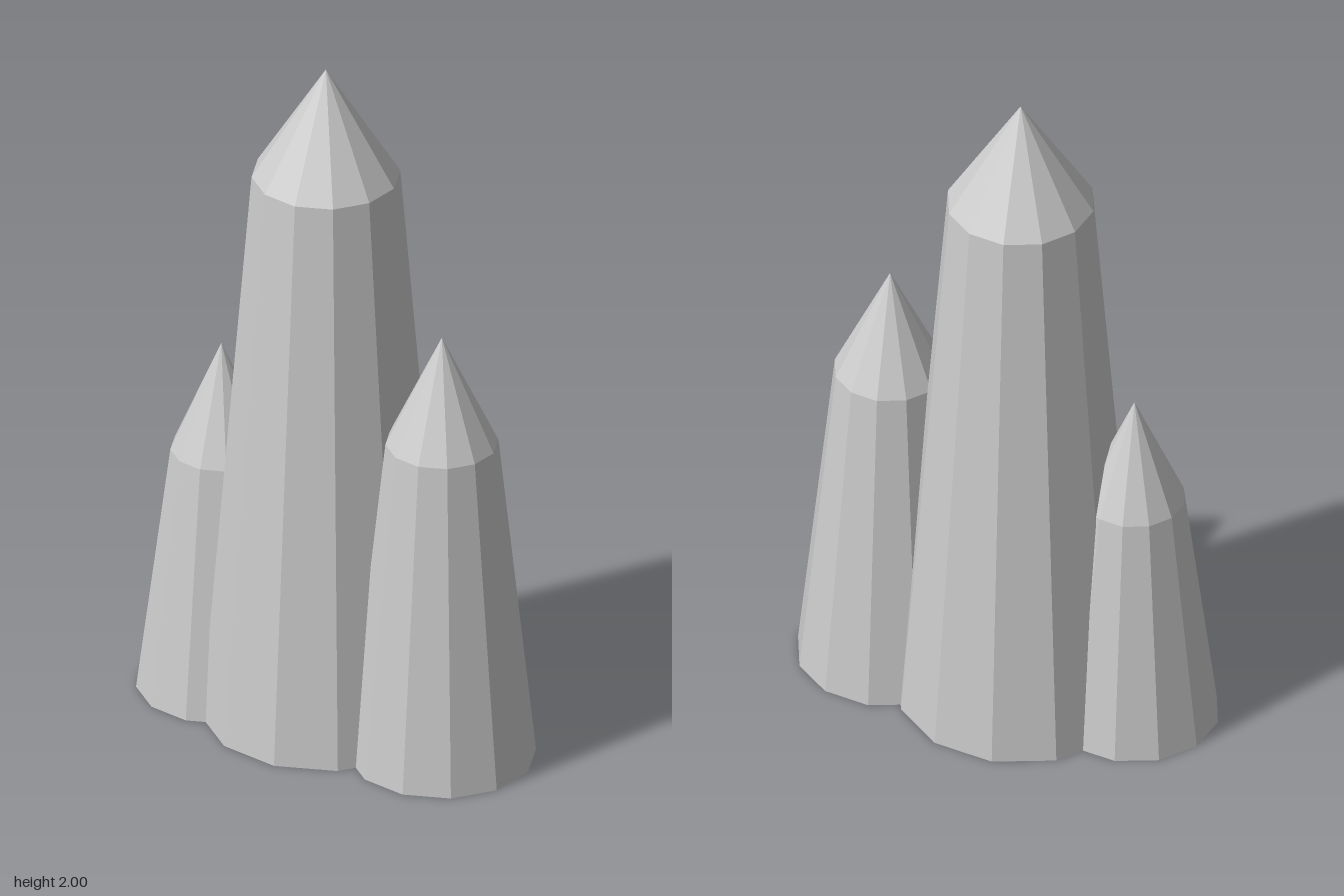
import * as THREE from 'three';

const SIDES = 12;

// Closed faceted crystal: flat base, tapering shaft, pointed tip
function crystal(name, x, z, baseRadius, shoulderRadius, shoulderY, tipY, material) {
  const profile = [
    new THREE.Vector2(0, 0),
    new THREE.Vector2(baseRadius, 0),
    new THREE.Vector2(shoulderRadius, shoulderY),
    new THREE.Vector2(0, tipY),
  ];
  const mesh = new THREE.Mesh(new THREE.LatheGeometry(profile, SIDES), material);
  mesh.name = name;
  mesh.position.set(x, 0, z);
  return mesh;
}

export function createModel() {
  const group = new THREE.Group();
  group.name = 'crystalCluster';
  const material = new THREE.MeshStandardMaterial({ color: 0xcccccc, flatShading: true });

  group.add(
    crystal('tallCrystal', -0.055, 0, 0.341, 0.204, 1.675, 2, material),
    crystal('leftCrystal', 0.322, -0.12, 0.258, 0.155, 0.97, 1.295, material),
    crystal('rightCrystal', -0.35, 0.14, 0.234, 0.14, 0.735, 1.06, material),
  );
  return group;
}
